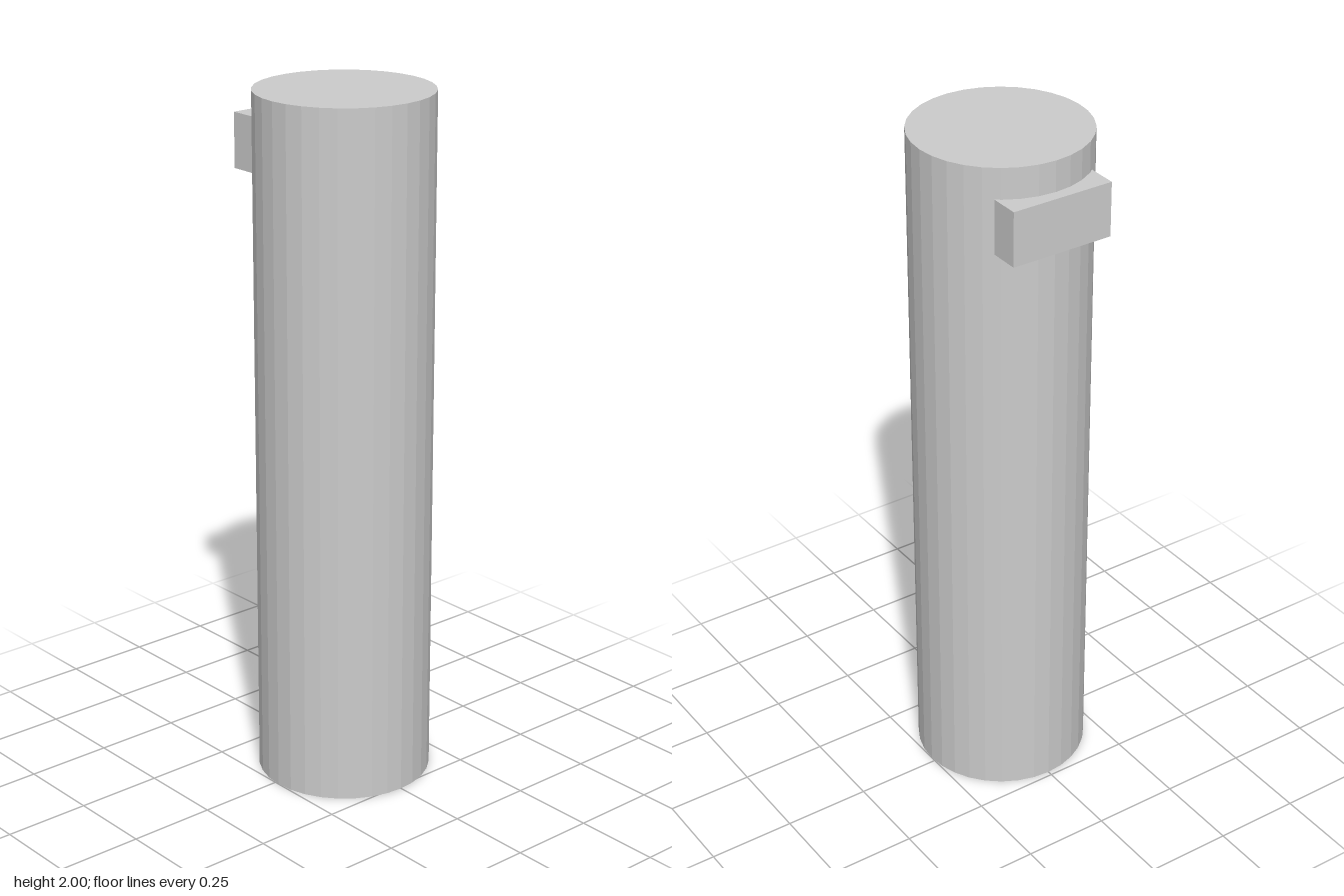
import * as THREE from 'three';

export function createModel() {
  const group = new THREE.Group();
  const material = new THREE.MeshStandardMaterial({ color: 0xcccccc, flatShading: true });

  const addPart = (name, geometry, x, y, z) => {
    const mesh = new THREE.Mesh(geometry, material);
    mesh.name = name;
    mesh.position.set(x, y, z);
    group.add(mesh);
  };

  // Tall faceted column
  addPart('column', new THREE.CylinderGeometry(0.25, 0.25, 2, 32), 0, 1, 0.015);

  // Block set into the back near the top
  const back = -0.268, inner = -0.17;
  addPart('backBlock', new THREE.BoxGeometry(0.306, 0.157, inner - back), 0, 1.833, (back + inner) / 2);

  return group;
}
